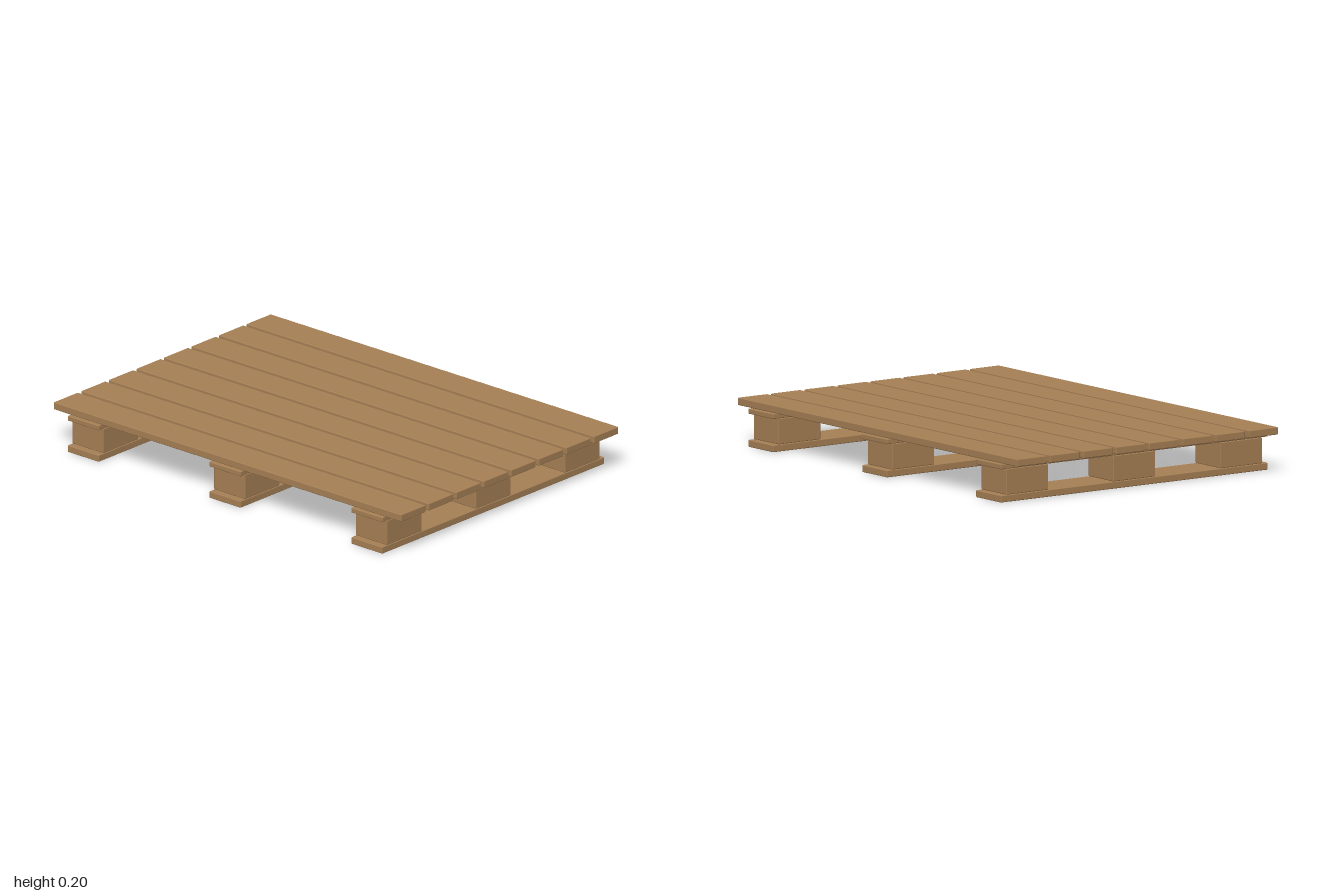
import * as THREE from 'three';
import { RoundedBoxGeometry } from 'three/addons/geometries/RoundedBoxGeometry.js';

export function createModel() {
  const group = new THREE.Group();
  const wood = new THREE.MeshStandardMaterial({ color: 0xa88156 });
  wood.name = 'wood';

  // Slightly eased timber, placed by its bottom and top heights
  const timber = (name, width, depth, bottom, top, x, z) => {
    const geometry = new RoundedBoxGeometry(width, top - bottom, depth, 1, 0.004);
    const mesh = new THREE.Mesh(geometry, wood);
    mesh.name = name;
    mesh.position.set(x, (bottom + top) / 2, z);
    group.add(mesh);
  };

  // Three runners: bottom board, three blocks and an upper stringer board
  for (const x of [-0.815, 0, 0.815]) {
    timber('bottomBoard', 0.18, 1.43, 0, 0.031, x, 0);
    for (const z of [-0.573, 0, 0.573]) {
      timber('block', 0.18, 0.225, 0.031, 0.144, x, z);
    }
    timber('stringerBoard', 0.18, 1.43, 0.144, 0.167, x, 0);
  }

  // Eight deck boards with narrow gaps
  for (let i = 0; i < 8; i++) {
    timber('deckBoard', 2, 0.157, 0.167, 0.2, 0, (i - 3.5) * 0.1773);
  }

  return group;
}
